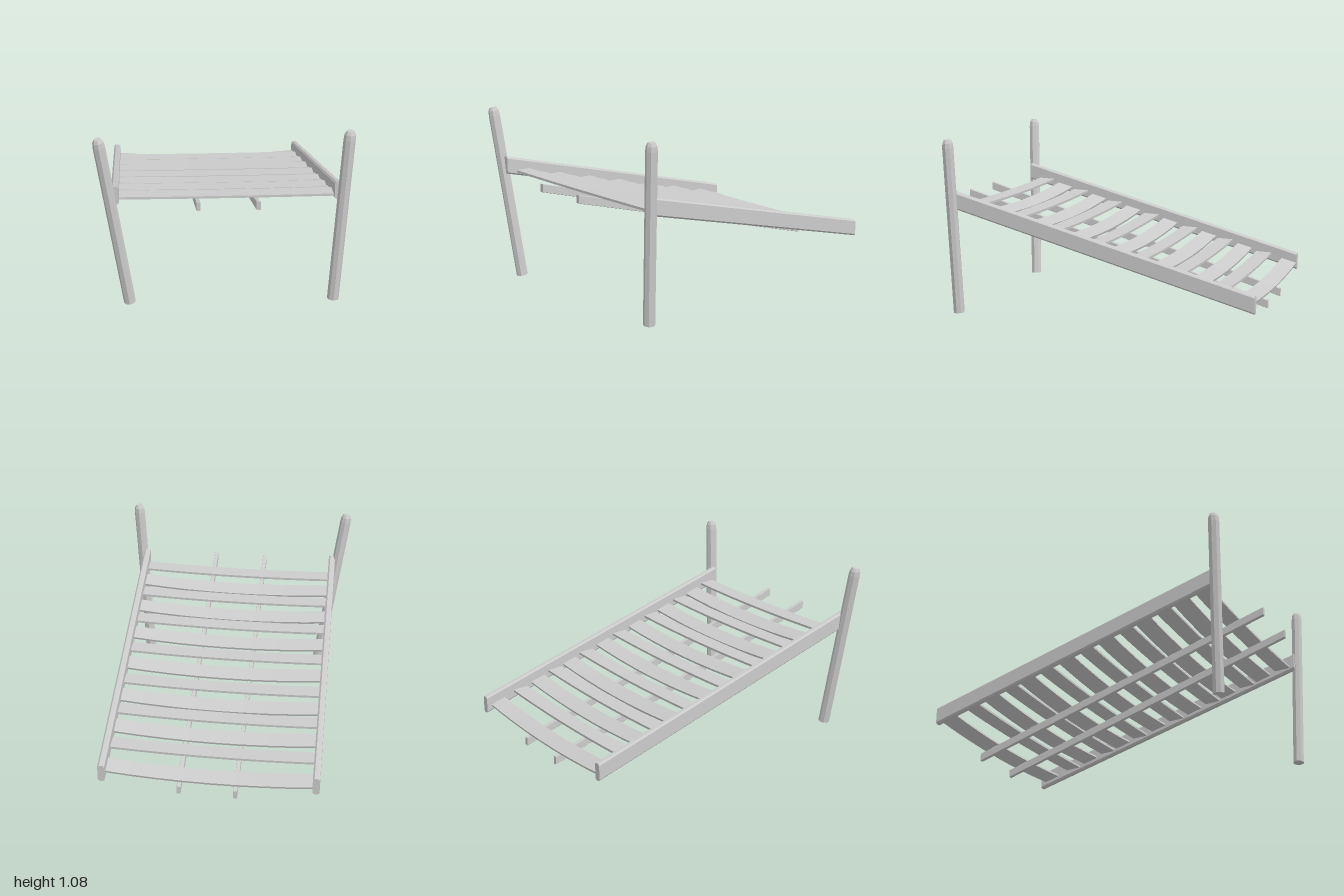
import * as THREE from 'three';

const material = new THREE.MeshStandardMaterial({ color: 0xcccccc, flatShading: true });
const SLOPE = 0.277;

function addMesh(group, geometry, name) {
  const mesh = new THREE.Mesh(geometry, material);
  mesh.name = name;
  group.add(mesh);
  return mesh;
}

// Straight beam with chamfered, upright cross-section and vertical end cuts.
function beam(w, h, chamfer, from, to) {
  const a = w / 2, b = h / 2, c = chamfer;
  const shape = new THREE.Shape([
    [a - c, -b], [a, c - b], [a, b - c], [a - c, b],
    [c - a, b], [-a, b - c], [-a, c - b], [c - a, -b],
  ].map(([x, y]) => new THREE.Vector2(x, y)));
  const geometry = new THREE.ExtrudeGeometry(shape, { depth: 1, bevelEnabled: false });
  const p = geometry.attributes.position;
  for (let i = 0; i < p.count; i++) {
    const t = p.getZ(i);
    p.setXYZ(i,
      p.getX(i) + from[0] + (to[0] - from[0]) * t,
      p.getY(i) + from[1] + (to[1] - from[1]) * t,
      from[2] + (to[2] - from[2]) * t);
  }
  geometry.computeVertexNormals();
  return geometry;
}

// Eight-sided post with a tapered tip, leaning from base to top.
function addPost(group, name, base, top) {
  const a = new THREE.Vector3(...base);
  const dir = new THREE.Vector3(...top).sub(a);
  const h = dir.length();
  const profile = [[0, 0], [0.035, 0], [0.035, h - 0.05], [0.032, h - 0.02], [0.022, h], [0, h]]
    .map(([x, y]) => new THREE.Vector2(x, y));
  const post = addMesh(group, new THREE.LatheGeometry(profile, 8), name);
  post.position.copy(a);
  post.quaternion.setFromUnitVectors(new THREE.Vector3(0, 1, 0), dir.normalize());
}

// Bowed plank between the two rails.
function slat(z, inclined) {
  const x0 = -0.675 + 0.029 * (z + 1), x1 = 0.595 + 0.031 * (z + 1);
  const geometry = new THREE.BoxGeometry(x1 - x0, 0.014, 0.102, 8, 1, 1);
  geometry.rotateX(inclined ? -Math.atan(SLOPE) : -0.04);
  const p = geometry.attributes.position;
  for (let i = 0; i < p.count; i++) {
    const u = p.getX(i) / ((x1 - x0) / 2);
    const bow = 1 - u * u;
    p.setXYZ(i,
      p.getX(i) + (x0 + x1) / 2,
      p.getY(i) + 0.446 + SLOPE * z - bow * (inclined ? 0.03 : 0.008),
      p.getZ(i) + z - bow * (inclined ? 0 : 0.01));
  }
  geometry.computeVertexNormals();
  return geometry;
}

export function createModel() {
  const group = new THREE.Group();
  group.name = 'slopingSlatFrame';

  // Leaning front posts
  addPost(group, 'rightPost', [-0.555, 0.006, 0.868], [-0.706, 1.073, 0.938]);
  addPost(group, 'leftPost', [0.648, 0.002, 0.868], [0.707, 1.08, 0.893]);

  // Side rails, higher at the front
  const railY = (z) => 0.185 + 0.278 * (z + 1);
  addMesh(group, beam(0.042, 0.108, 0.01,
    [-0.675, railY(-0.97), -0.97], [-0.62, railY(0.92), 0.92]), 'rightRail');
  addMesh(group, beam(0.042, 0.108, 0.01,
    [0.595, railY(-1), -1], [0.655, railY(0.88), 0.88]), 'leftRail');

  // Slats, alternately inclined with the rails and lying level
  const slatZ = [-0.917, -0.749, -0.616, -0.481, -0.368, -0.235, -0.098,
    0.037, 0.167, 0.302, 0.415, 0.55, 0.664, 0.8];
  slatZ.forEach((z, i) => addMesh(group, slat(z, i % 2 === 0), `slat${i + 1}`));

  // Two thin bearers under the slats
  for (const [name, back, front] of [['rightBearer', -0.2, -0.15], ['leftBearer', 0.138, 0.189]]) {
    addMesh(group, beam(0.024, 0.05, 0.002,
      [back, 0.085, -0.967], [front, 0.677, 1]), name);
  }
  return group;
}
